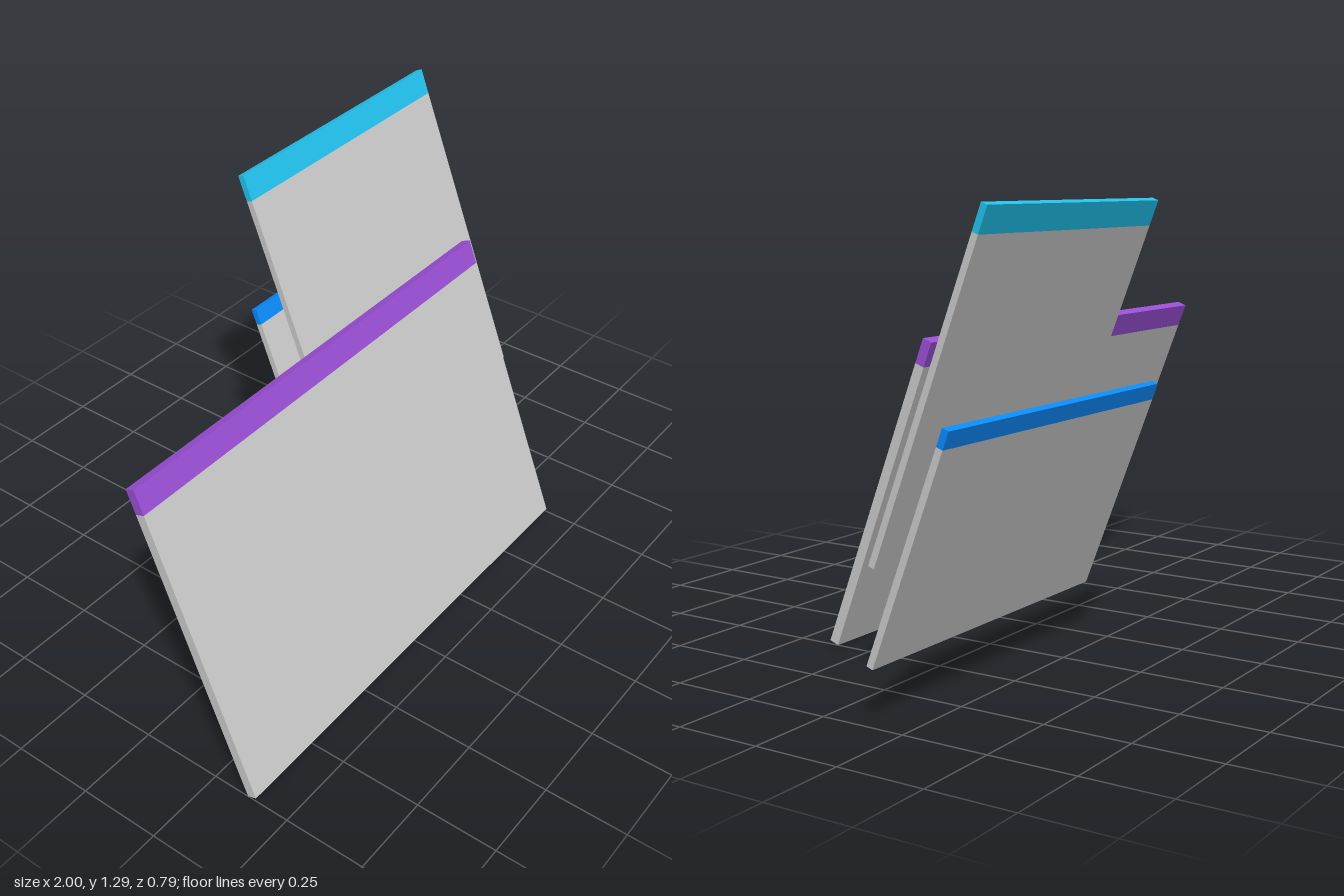
import * as THREE from 'three';

const TILT = THREE.MathUtils.degToRad(-21);

// A leaning slab with a coloured strip along its top edge
function makePanel(name, { x, y, z, width, height, depth, strip, color }) {
  const panel = new THREE.Group();
  panel.name = name;
  const addSlab = (part, h, centreY, hex) => {
    const mesh = new THREE.Mesh(
      new THREE.BoxGeometry(width, h, depth),
      new THREE.MeshStandardMaterial({ color: hex })
    );
    mesh.name = part;
    mesh.position.y = centreY;
    panel.add(mesh);
  };
  addSlab('panelBody', height - strip, -strip / 2, 0xcccccc);
  addSlab('headerStrip', strip, (height - strip) / 2, color);
  panel.position.set(x, y, z);
  panel.rotation.x = TILT;
  return panel;
}

export function createModel() {
  const model = new THREE.Group();
  model.name = 'floatingPanels';
  model.add(
    // Large panel, front left of the picture plane
    makePanel('frontPanel', {
      x: -0.25, y: 0.457, z: 0.206, width: 1.5, height: 0.968, depth: 0.03, strip: 0.075, color: 0x9b4fd6,
    }),
    // Tall panel in the middle
    makePanel('middlePanel', {
      x: 0.319, y: 0.807, z: -0.149, width: 0.874, height: 1.023, depth: 0.02, strip: 0.078, color: 0x22c4f0,
    }),
    // Small panel at the back
    makePanel('backPanel', {
      x: 0.487, y: 0.459, z: -0.269, width: 1.026, height: 0.658, depth: 0.02, strip: 0.05, color: 0x0a8cff,
    })
  );
  return model;
}
